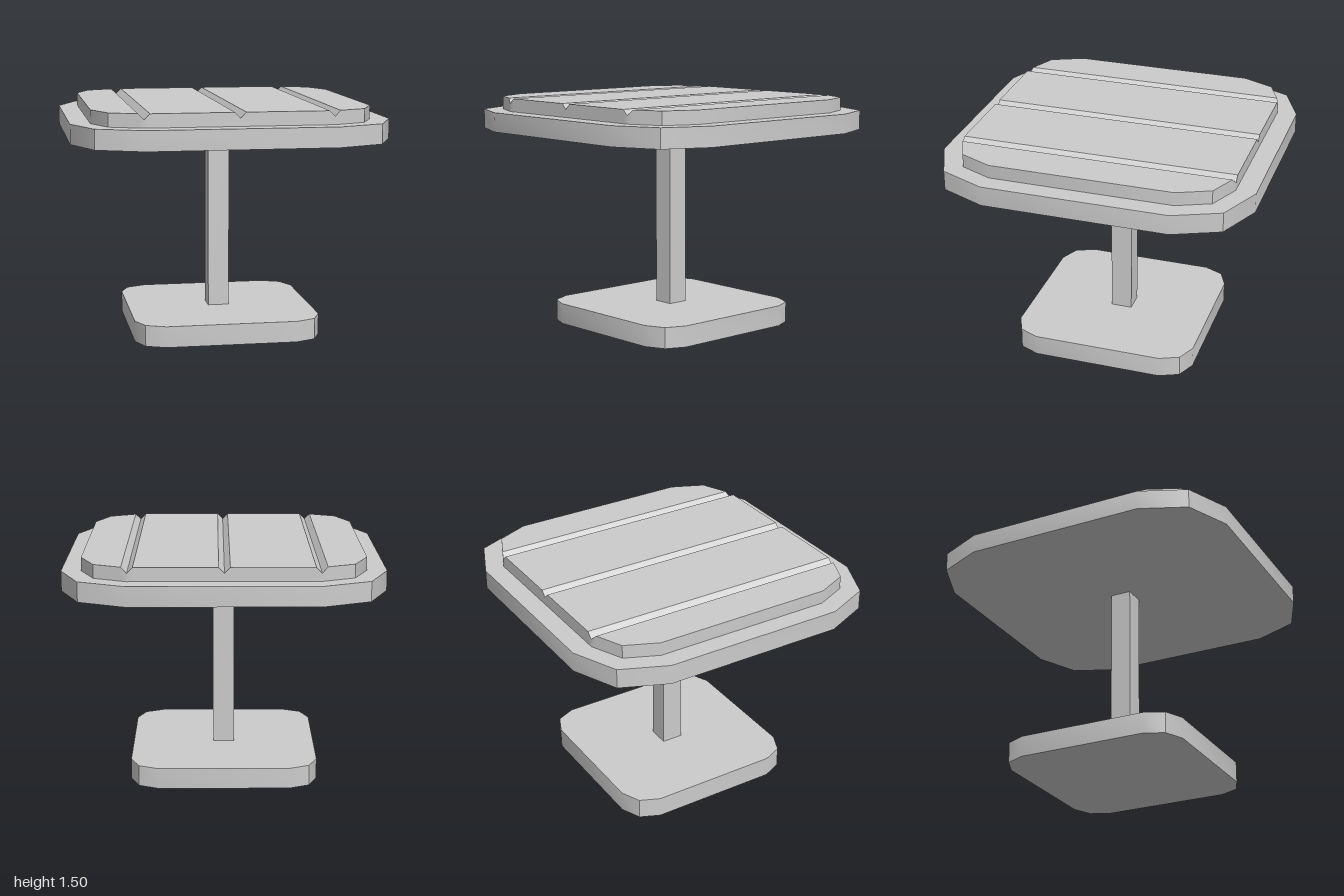
import * as THREE from 'three';
import { toCreasedNormals } from 'three/addons/utils/BufferGeometryUtils.js';

const material = new THREE.MeshStandardMaterial({ color: 0xcccccc });
const CREASE = 0.55; // softens the shallow corner bends, keeps the rest sharp

function addMesh(group, name, geometry) {
  const mesh = new THREE.Mesh(geometry, material);
  mesh.name = name;
  group.add(mesh);
}

// Square slab whose corners are cut by two facets each
function slab(half, mid, flat, y0, y1) {
  const corner = [[half, flat], [mid, mid], [flat, half]];
  const points = [];
  for (let k = 0; k < 4; k++) {
    for (const p of corner) {
      points.push(new THREE.Vector2(...p).rotateAround(new THREE.Vector2(), k * Math.PI / 2));
    }
  }
  const geo = new THREE.ExtrudeGeometry(new THREE.Shape(points), { depth: y1 - y0, bevelEnabled: false });
  geo.rotateX(-Math.PI / 2).translate(0, y0, 0);
  return toCreasedNormals(geo, CREASE);
}

// Plank panel lofted along x through rectangular sections, with V grooves on top
function groovedPanel(y0, y1) {
  const depth = 0.035, w = 0.035;
  const stations = [[-0.875, 0.58, y1], [-0.785, 0.785, y1]];
  for (const c of [-0.58, 0, 0.58]) {
    for (const s of [-1, 0, 1]) {
      const x = c + s * w;
      const z = Math.abs(x) <= 0.58 ? 0.875 : 0.875 - (Math.abs(x) - 0.58) * 0.09 / 0.205;
      stations.push([x, z, s === 0 ? y1 - depth : y1]);
    }
  }
  stations.push([0.785, 0.785, y1], [0.875, 0.58, y1]);

  const positions = [], index = [];
  for (const [x, z, top] of stations) {
    positions.push(x, y0, -z, x, y0, z, x, top, z, x, top, -z);
  }
  for (let i = 0; i < stations.length - 1; i++) {
    for (let j = 0; j < 4; j++) {
      const a = i * 4 + j, b = i * 4 + (j + 1) % 4;
      index.push(a, a + 4, b + 4, a, b + 4, b);
    }
  }
  const e = (stations.length - 1) * 4;
  index.push(0, 1, 2, 0, 2, 3, e, e + 2, e + 1, e, e + 3, e + 2);

  const geo = new THREE.BufferGeometry();
  geo.setAttribute('position', new THREE.Float32BufferAttribute(positions, 3));
  geo.setIndex(index);
  return toCreasedNormals(geo, CREASE);
}

export function createModel() {
  const table = new THREE.Group();
  table.name = 'pedestalTable';

  addMesh(table, 'base', slab(0.6, 0.545, 0.42, 0, 0.135));
  addMesh(table, 'post', new THREE.BoxGeometry(0.138, 1.16, 0.138).translate(0, 0.715, 0));
  addMesh(table, 'tableRim', slab(1, 0.875, 0.585, 1.295, 1.42));
  addMesh(table, 'plankTop', groovedPanel(1.42, 1.505));

  return table;
}
